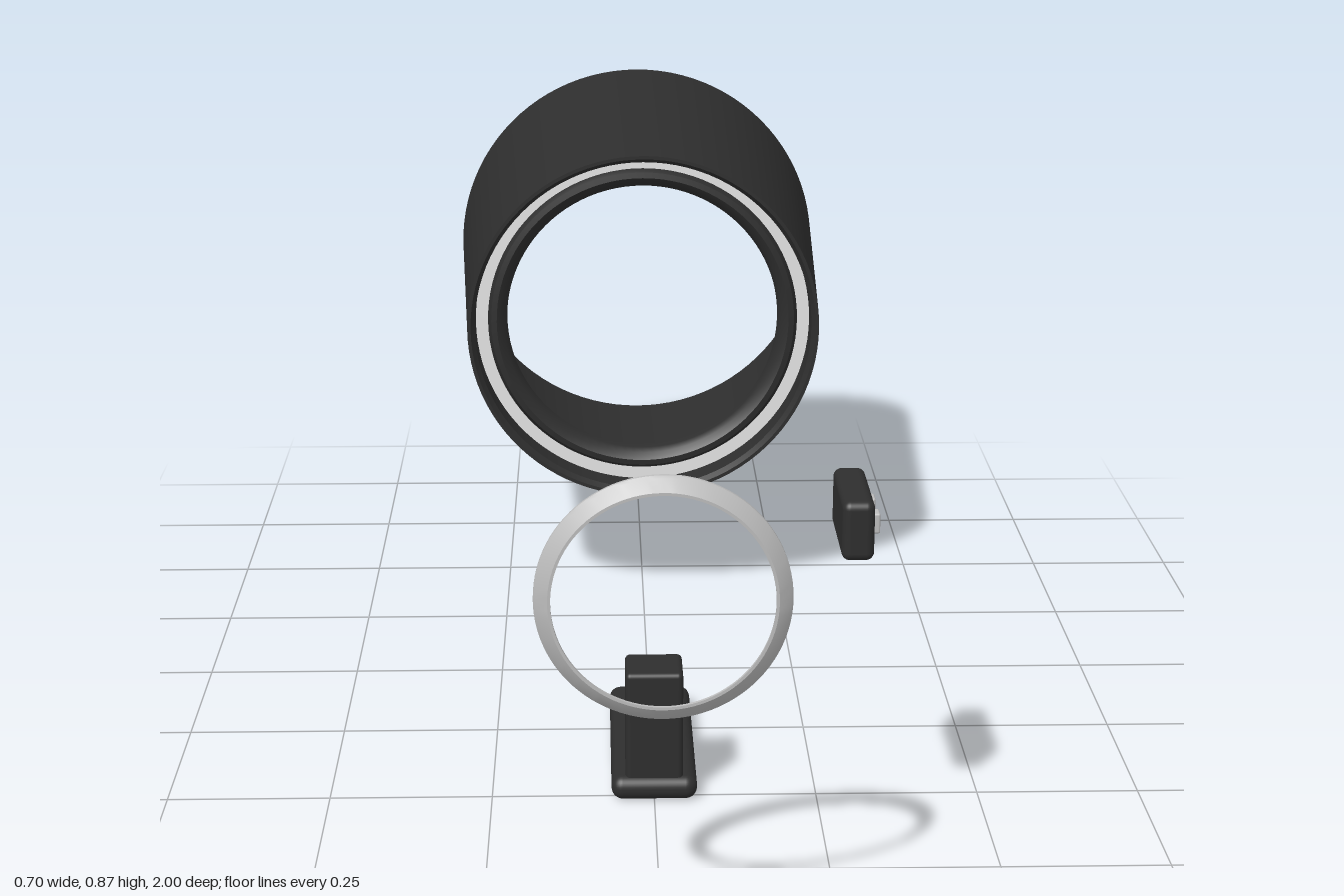
import * as THREE from 'three';
import { toCreasedNormals } from 'three/addons/utils/BufferGeometryUtils.js';
import { RoundedBoxGeometry } from 'three/addons/geometries/RoundedBoxGeometry.js';

const AXIS_Y = 0.515; // height of the shared optical axis

export function createModel() {
  const model = new THREE.Group();
  const material = (name, color) => {
    const m = new THREE.MeshStandardMaterial({ color });
    m.name = name;
    return m;
  };
  const black = material('matte black', 0x2e2e2e);
  const silver = material('silver', 0xbdbdbd);
  const white = material('white', 0xffffff);

  const add = (name, geometry, mat, x, y, z, parent = model) => {
    const mesh = new THREE.Mesh(geometry, mat);
    mesh.name = name;
    mesh.position.set(x, y, z);
    parent.add(mesh);
    return mesh;
  };

  // Closed [radius, z] profile turned around the z axis (outside runs towards +z)
  const turned = (profile) => {
    const points = [...profile, profile[0]].map(([r, z]) => new THREE.Vector2(r, z));
    const geometry = new THREE.LatheGeometry(points, 96).rotateX(Math.PI / 2);
    return toCreasedNormals(geometry, 0.6);
  };

  const rounded = (w, h, d, r) => new RoundedBoxGeometry(w, h, d, 4, r);

  // Tapered hollow barrel with a thin wall and a small front lip
  const barrel = new THREE.Group();
  barrel.name = 'barrel';
  model.add(barrel);
  add('barrelShell', turned([
    [0.352, -1], [0.315, -0.335], [0.309, -0.335], [0.302, -0.345],
    [0.302, -0.43], [0.314, -0.44], [0.348, -1],
  ]), black, 0, AXIS_Y, 0, barrel);

  // Recessed inner ring with rounded front edge
  add('innerRing', turned([
    [0.28, -0.43], [0.28, -0.4], [0.274, -0.39], [0.264, -0.388],
    [0.252, -0.396], [0.246, -0.41], [0.246, -0.43],
  ]), black, 0, AXIS_Y, 0, barrel);

  // Pale band between the inner ring and the shell, with its dark backing
  add('paleBand', new THREE.RingGeometry(0.28, 0.302, 96), white, 0, AXIS_Y, -0.398, barrel);
  add('bandBacking', turned([
    [0.302, -0.406], [0.302, -0.4], [0.28, -0.4], [0.28, -0.406],
  ]), black, 0, AXIS_Y, 0, barrel);

  // Silver trim ring, sloping back towards its rim
  add('trimRing', turned([
    [0.171, 0.98], [0.171, 0.985], [0.168, 0.989], [0.152, 1],
    [0.148, 1], [0.148, 0.995], [0.164, 0.98],
  ]), silver, 0, AXIS_Y, 0);

  // Control block with two small buttons on its left face
  const control = new THREE.Group();
  control.name = 'controlBlock';
  model.add(control);
  add('controlBody', rounded(0.046, 0.088, 0.166, 0.012), black, 0.281, 0.516, 0.658, control);
  for (const z of [0.692, 0.626]) {
    add('button', rounded(0.02, 0.03, 0.024, 0.003), silver, 0.305, 0.516, z, control);
  }

  // Foot plate with an upright post
  const stand = new THREE.Group();
  stand.name = 'stand';
  model.add(stand);
  add('footPlate', rounded(0.132, 0.038, 0.374, 0.018), black, 0, 0.019, 0.338, stand);
  add('post', rounded(0.088, 0.188, 0.086, 0.008), black, 0, 0.114, 0.472, stand);

  return model;
}
